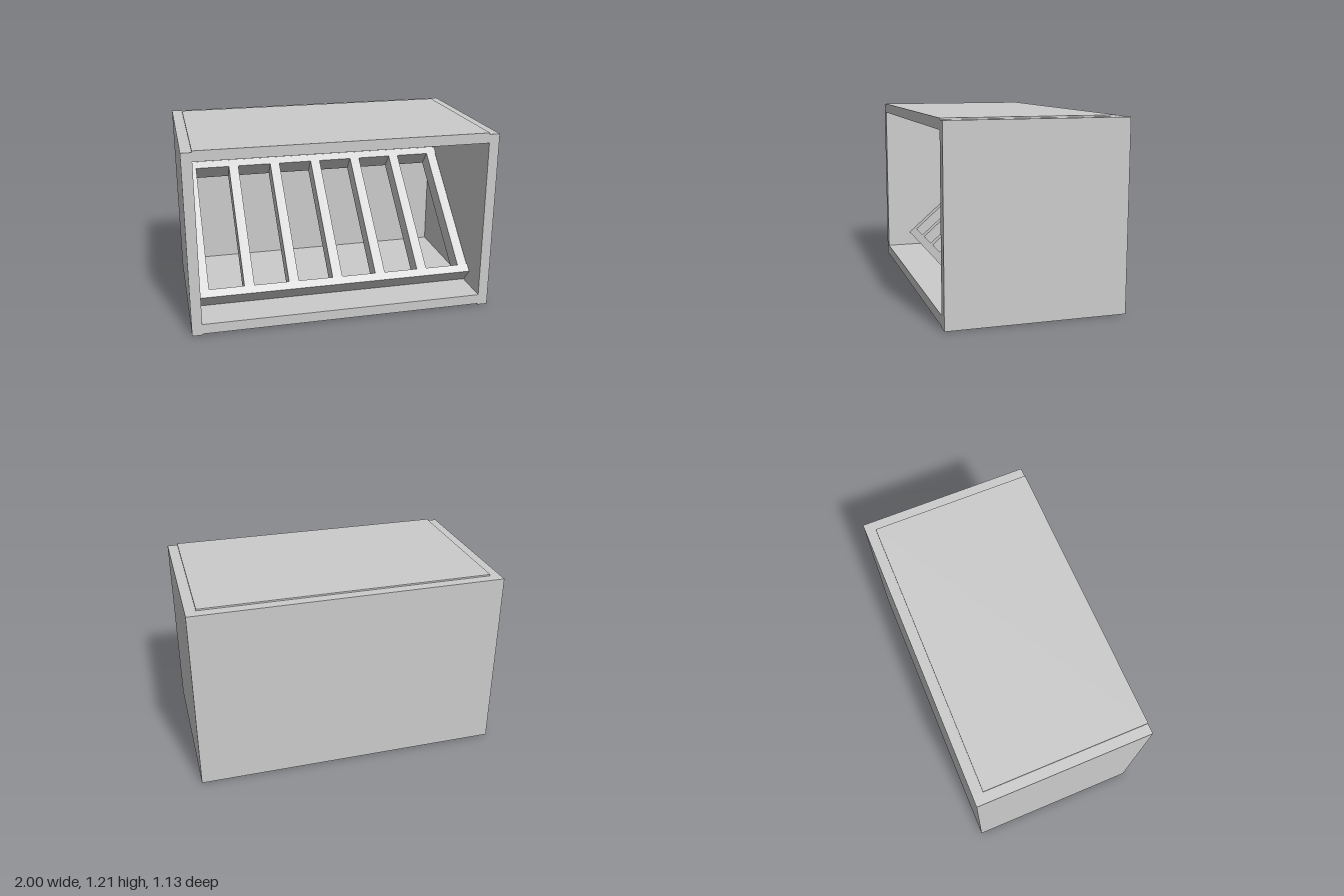
import * as THREE from 'three';

const material = new THREE.MeshStandardMaterial({ color: 0xcccccc, flatShading: true });

// Box given by its minimum and maximum corners
function slab(parent, name, [x0, y0, z0], [x1, y1, z1]) {
  const geometry = new THREE.BoxGeometry(x1 - x0, y1 - y0, z1 - z0);
  geometry.translate((x0 + x1) / 2, (y0 + y1) / 2, (z0 + z1) / 2);
  const mesh = new THREE.Mesh(geometry, material);
  mesh.name = name;
  parent.add(mesh);
}

export function createModel() {
  const model = new THREE.Group();
  model.name = 'cabinetWithSlantedRack';

  const W = 1, D = 0.567, H = 1.2;   // outer half width, half depth, side height
  const w = 0.933, back = -0.5;      // inner half width, face of the back wall

  // Open-fronted case; top and floor sit slightly higher than the sides
  slab(model, 'leftSide', [w, 0, -D], [W, H, D]);
  slab(model, 'rightSide', [-W, 0, -D], [-w, H, D]);
  slab(model, 'backPanel', [-w, 0, -D], [w, H, back]);
  slab(model, 'topPanel', [-w, 1.143, back], [w, 1.21, D]);
  slab(model, 'floorPanel', [-w, 0.008, back], [w, 0.075, D]);

  // Slanted rack, built upright with its front face at z = 0, then leaned back
  const rack = new THREE.Group();
  rack.name = 'slantedRack';
  const length = 1.046, rail = 0.056, thickness = 0.128;
  slab(rack, 'lowerRail', [-w, 0, -thickness], [w, rail, 0]);
  slab(rack, 'upperRail', [-w, length - rail, -thickness], [w, length, 0]);
  for (let i = 0; i < 7; i++) {
    const x = -w + i * 0.299;
    slab(rack, 'divider' + (i + 1), [x, rail, -thickness], [x + 0.067, length - rail, 0]);
  }
  rack.rotation.x = -THREE.MathUtils.degToRad(49);
  rack.position.set(0, 0.174, 0.396);
  model.add(rack);

  return model;
}
